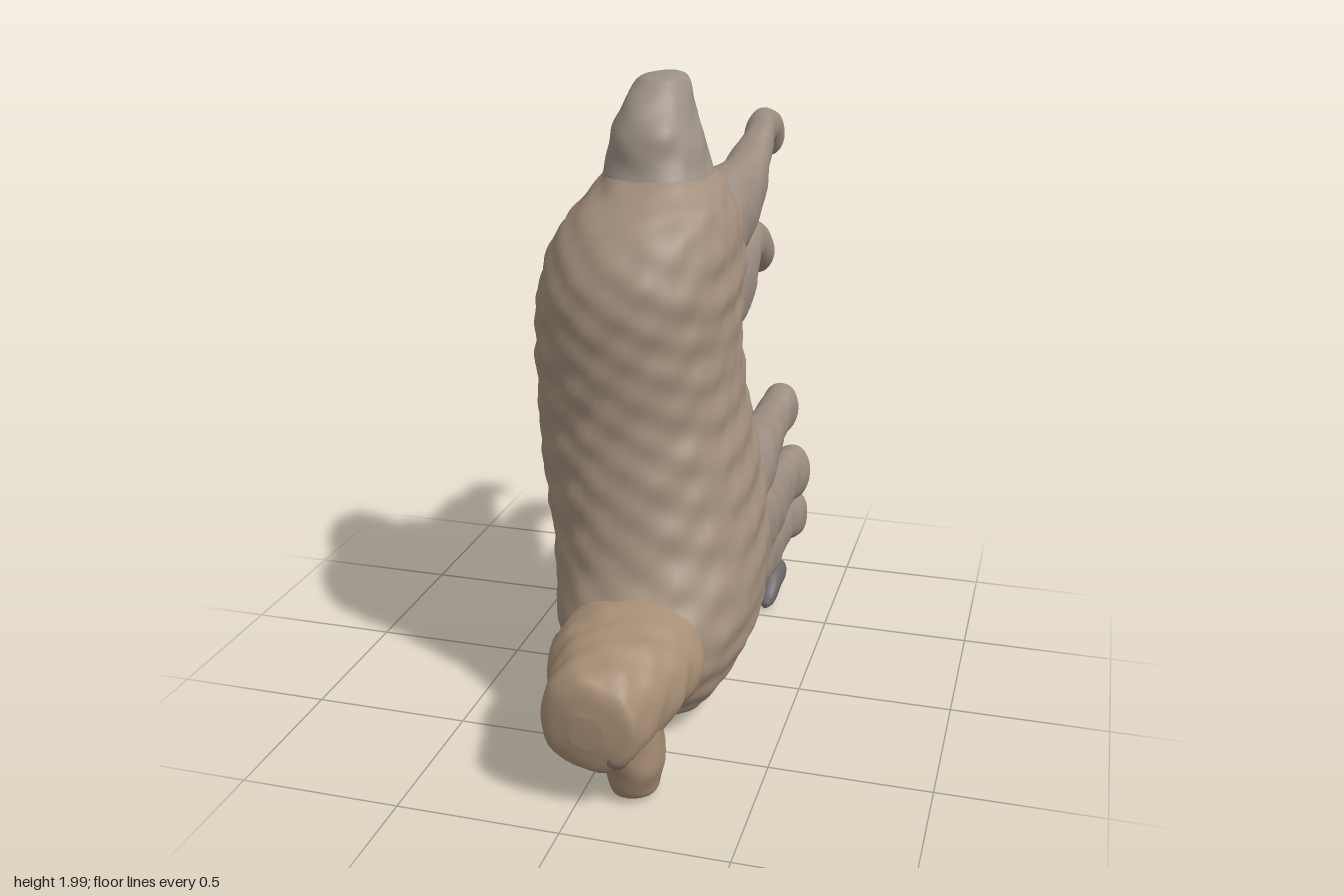
import * as THREE from 'three';

// Soft woolly surface ripple
const ripple = (x, y, z) =>
  Math.sin(33 * x + 9 * y) * Math.sin(47 * y + 11 * z) + 0.6 * Math.sin(53 * z + 13 * y) * Math.sin(45 * x - 29 * y);

// Loft rounded cross-sections along 'y' or 'z'.
// Each section is [position, xMin, xMax, otherMin, otherMax].
function loft(name, color, axis, sections, { sides = 36, steps = 8, bump = 0.003 } = {}) {
  const curve = (f) => new THREE.CatmullRomCurve3(sections.map(f), false, 'catmullrom', 0.5);
  const centres = curve(([p, a, b, c, d]) => new THREE.Vector3((a + b) / 2, (c + d) / 2, p));
  const radii = curve(([, a, b, c, d]) => new THREE.Vector3((b - a) / 2, (d - c) / 2, 0));
  const rows = (sections.length - 1) * steps;
  const round = (v) => Math.sign(v) * Math.abs(v) ** 0.92;
  const pos = [], index = [];
  const put = (x, v, p) => pos.push(...(axis === 'y' ? [x, p, v] : [x, v, p]));

  for (let i = 0; i <= rows; i++) {
    const c = centres.getPoint(i / rows), r = radii.getPoint(i / rows);
    for (let j = 0; j < sides; j++) {
      const t = (j / sides) * Math.PI * 2, u = round(Math.cos(t)), v = round(Math.sin(t));
      const n = bump * ripple(c.x + u * r.x, c.z, c.y + v * r.y);
      put(c.x + u * (r.x + n), c.y + v * (r.y + n), c.z);
    }
  }
  const first = centres.getPoint(0), last = centres.getPoint(1), cap = (rows + 1) * sides;
  put(first.x, first.y, first.z);
  put(last.x, last.y, last.z);

  const flip = (axis === 'z') !== (last.z > first.z);
  const tri = (a, b, c) => index.push(...(flip ? [a, c, b] : [a, b, c]));
  for (let j = 0; j < sides; j++) {
    const k = (j + 1) % sides;
    for (let i = 0; i < rows; i++) {
      const a = i * sides + j, b = i * sides + k;
      tri(a, b, a + sides);
      tri(b, b + sides, a + sides);
    }
    tri(cap, k, j);
    tri(cap + 1, rows * sides + j, rows * sides + k);
  }
  const geo = new THREE.BufferGeometry();
  geo.setAttribute('position', new THREE.Float32BufferAttribute(pos, 3));
  geo.setIndex(index);
  geo.computeVertexNormals();
  const mesh = new THREE.Mesh(geo, new THREE.MeshStandardMaterial({ color }));
  mesh.name = name;
  return mesh;
}

export function createModel() {
  const model = new THREE.Group();
  model.name = 'animal';
  const wool = 0xa18d7b, legColor = 0x998a7e, hoofColor = 0x6b6466;

  // Upright body, from chest to rump, closing inside the tail
  model.add(loft('body', wool, 'y', [
    [0.04, 0.04, 0.19, 0.06, 0.28],
    [0.06, -0.05, 0.24, -0.05, 0.36],
    [0.11, -0.14, 0.28, -0.17, 0.48],
    [0.2, -0.22, 0.33, -0.3, 0.56],
    [0.3, -0.25, 0.365, -0.38, 0.57],
    [0.42, -0.28, 0.375, -0.43, 0.53],
    [0.55, -0.305, 0.365, -0.46, 0.45],
    [0.7, -0.34, 0.34, -0.46, 0.4],
    [0.85, -0.365, 0.31, -0.44, 0.37],
    [1.0, -0.375, 0.28, -0.42, 0.35],
    [1.2, -0.38, 0.26, -0.42, 0.35],
    [1.35, -0.375, 0.26, -0.46, 0.345],
    [1.47, -0.35, 0.25, -0.48, 0.31],
    [1.57, -0.295, 0.235, -0.46, 0.235],
    [1.65, -0.23, 0.19, -0.4, 0.12],
    [1.71, -0.19, 0.13, -0.34, 0.045],
    [1.79, -0.13, 0.06, -0.27, -0.03],
  ], { sides: 72, steps: 12, bump: 0.006 }));

  // Deep brisket between the fore legs
  model.add(loft('brisket', wool, 'z', [
    [0.2, 0.0, 0.24, 0.16, 0.55],
    [0.0, -0.1, 0.32, 0.085, 0.65],
    [-0.15, -0.13, 0.345, 0.105, 0.7],
    [-0.3, -0.13, 0.34, 0.16, 0.73],
    [-0.42, -0.11, 0.335, 0.21, 0.72],
    [-0.48, -0.06, 0.31, 0.28, 0.66],
  ], { sides: 56, steps: 10, bump: 0.005 }));

  // Blunt tail on top of the rump
  model.add(loft('tail', 0x9c9084, 'y', [
    [1.5, -0.2, 0.14, -0.33, 0.05],
    [1.63, -0.205, 0.155, -0.345, 0.08],
    [1.73, -0.195, 0.135, -0.335, 0.045],
    [1.83, -0.175, 0.1, -0.33, 0.025],
    [1.91, -0.145, 0.07, -0.33, -0.03],
    [1.97, -0.12, 0.05, -0.33, -0.09],
    [1.99, -0.1, 0.035, -0.32, -0.12],
    [2.0, -0.06, 0.01, -0.28, -0.18],
  ], { bump: 0.004 }));

  // Head, muzzle and nose
  model.add(loft('head', 0xa68d74, 'z', [
    [0.3, -0.13, 0.27, 0.14, 0.5],
    [0.45, -0.17, 0.285, 0.12, 0.505],
    [0.58, -0.17, 0.275, 0.16, 0.475],
    [0.68, -0.14, 0.255, 0.14, 0.47],
    [0.78, -0.115, 0.215, 0.12, 0.45],
    [0.84, -0.1, 0.195, 0.13, 0.43],
    [0.87, -0.075, 0.175, 0.15, 0.395],
    [0.885, 0.0, 0.1, 0.22, 0.32],
  ], { bump: 0.006 }));
  model.add(loft('muzzle', 0xa0876f, 'y', [
    [0.34, 0.05, 0.15, 0.66, 0.78],
    [0.25, 0.02, 0.21, 0.6, 0.83],
    [0.13, 0.05, 0.23, 0.615, 0.83],
    [0.05, 0.065, 0.22, 0.635, 0.81],
    [0.02, 0.08, 0.205, 0.65, 0.79],
    [0.01, 0.11, 0.175, 0.68, 0.75],
  ]));
  const nose = new THREE.Mesh(new THREE.SphereGeometry(0.045, 20, 14), new THREE.MeshStandardMaterial({ color: 0x8a7568 }));
  nose.name = 'nose';
  nose.position.set(0.12, 0.19, 0.835);
  model.add(nose);

  // Hind legs: one raised, and a lower pair, with thighs rooted in the body
  model.add(loft('raisedHindLeg', legColor, 'z', [
    [-0.02, 0.04, 0.14, 1.4, 1.55],
    [-0.2, 0.0, 0.22, 1.35, 1.62],
    [-0.35, 0.02, 0.24, 1.38, 1.68],
    [-0.48, 0.07, 0.25, 1.48, 1.7],
    [-0.6, 0.12, 0.24, 1.62, 1.76],
    [-0.7, 0.13, 0.235, 1.69, 1.81],
    [-0.78, 0.13, 0.23, 1.69, 1.82],
    [-0.83, 0.12, 0.24, 1.65, 1.8],
    [-0.86, 0.145, 0.215, 1.67, 1.74],
  ]));
  for (const side of [1, -1]) {
    const span = (a, b) => (side > 0 ? [a, b] : [-b, -a]);
    model.add(loft(side > 0 ? 'leftHindLeg' : 'rightHindLeg', legColor, 'z', [
      [-0.05, ...span(0.04, 0.14), 1.2, 1.38],
      [-0.25, ...span(0.0, 0.21), 1.09, 1.45],
      [-0.42, ...span(0.04, 0.23), 1.13, 1.43],
      [-0.53, ...span(0.08, 0.22), 1.23, 1.41],
      [-0.64, ...span(0.1, 0.21), 1.29, 1.425],
      [-0.73, ...span(0.1, 0.205), 1.28, 1.43],
      [-0.82, ...span(0.095, 0.215), 1.22, 1.39],
      [-0.86, ...span(0.125, 0.19), 1.26, 1.34],
    ]));
  }

  // Fore legs: [name, x at the foot, y at the foot, x and y at the shoulder, half height of the leg]
  const foreLegs = [
    ['upperLeftForeLeg', 0.25, 0.71, 0.2, 0.61, 0.085],
    ['middleLeftForeLeg', 0.3, 0.46, 0.22, 0.46, 0.1],
    ['lowerLeftForeLeg', 0.3, 0.29, 0.21, 0.33, 0.09],
    ['upperRightForeLeg', -0.06, 0.68, -0.07, 0.6, 0.075],
    ['lowerRightForeLeg', -0.05, 0.31, -0.05, 0.36, 0.09],
  ];
  for (const [name, fx, fy, sx, sy, h] of foreLegs) {
    const at = (z, k, rx, ry) => {
      const x = sx + (fx - sx) * k, y = sy + (fy - sy) * k;
      return [z, x - rx, x + rx, y - ry, y + ry];
    };
    model.add(loft(name, legColor, 'z', [
      at(-0.05, 0, 0.07, h * 0.9),
      at(-0.22, 0, 0.12, h * 1.5),
      at(-0.4, 0.3, 0.11, h * 1.4),
      at(-0.55, 0.55, 0.085, h * 1.12),
      at(-0.7, 0.75, 0.067, h * 0.95),
      at(-0.78, 0.95, 0.065, h),
      at(-0.83, 1, 0.068, h * 1.05),
      at(-0.87, 1, 0.04, h * 0.6),
    ]));
  }

  // Separate loose hoof below the legs
  model.add(loft('looseHoof', hoofColor, 'z', [
    [-0.54, 0.26, 0.28, 0.02, 0.04],
    [-0.57, 0.235, 0.3, 0.02, 0.08],
    [-0.65, 0.225, 0.31, 0.035, 0.135],
    [-0.73, 0.23, 0.31, 0.05, 0.14],
    [-0.78, 0.25, 0.29, 0.07, 0.1],
  ], { sides: 20, bump: 0.002 }));

  return model;
}
